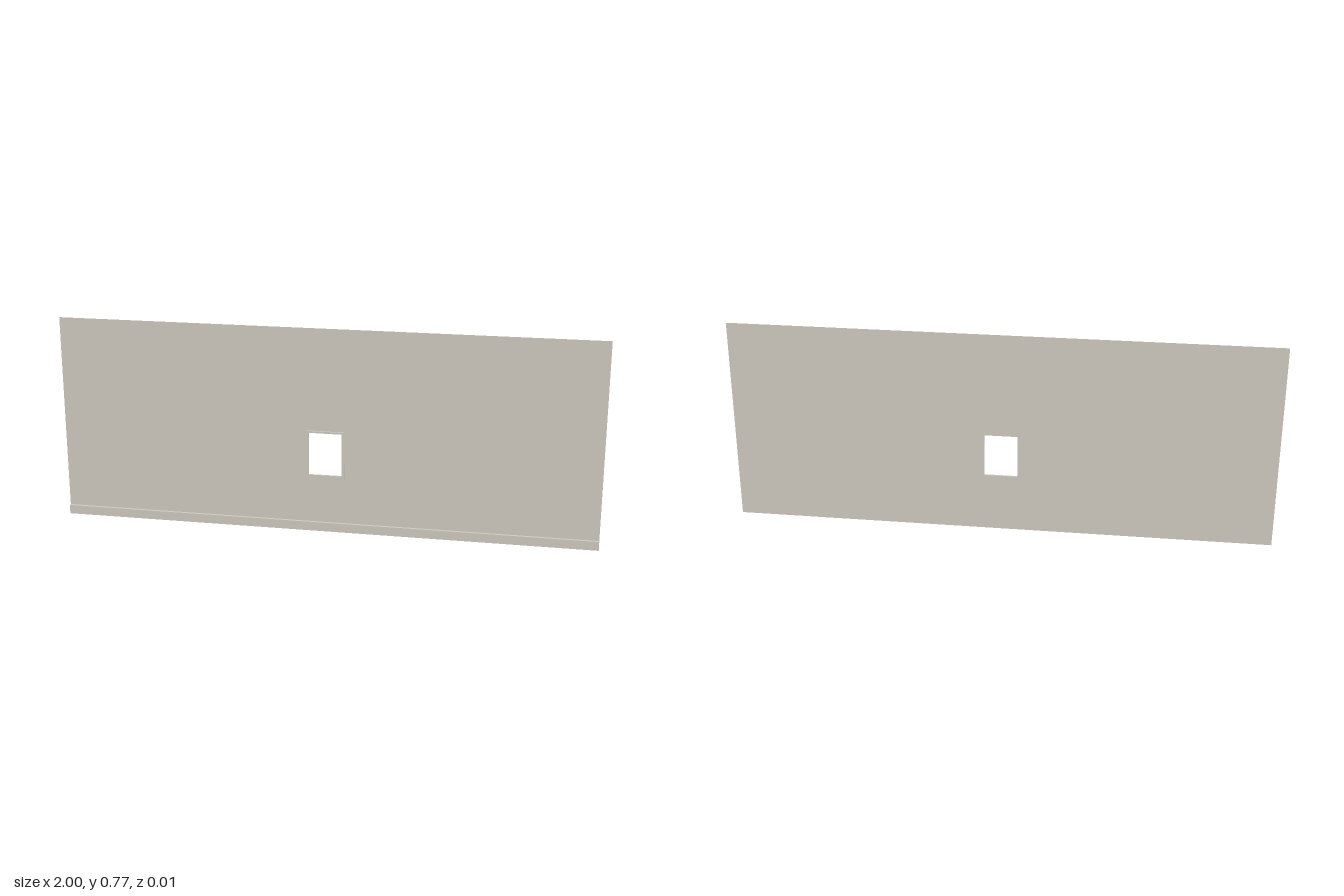
import * as THREE from 'three';

const BACK = -0.005; // plane shared by the wall and the backs of the trim

// Rectangle outline, usable as a shape or a hole
function rect(Type, x0, y0, x1, y1) {
  const r = new Type();
  r.moveTo(x0, y0);
  r.lineTo(x1, y0);
  r.lineTo(x1, y1);
  r.lineTo(x0, y1);
  r.closePath();
  return r;
}

export function createModel() {
  const group = new THREE.Group();
  group.name = 'wallWithWindow';
  const plaster = new THREE.MeshStandardMaterial({ color: 0xcfcac0, side: THREE.DoubleSide });
  plaster.name = 'warmGreyPlaster';

  const add = (name, geometry, z) => {
    const mesh = new THREE.Mesh(geometry, plaster);
    mesh.name = name;
    mesh.position.z = z;
    group.add(mesh);
    return mesh;
  };
  const opening = () => rect(THREE.Path, -0.061, 0.219, 0.061, 0.38);

  // Single-sheet wall with the window opening
  const wall = rect(THREE.Shape, -1, 0, 1, 0.77);
  wall.holes.push(opening());
  add('wall', new THREE.ShapeGeometry(wall), BACK);

  // Slim frame around the opening, raised from the front of the wall
  const frame = rect(THREE.Shape, -0.071, 0.207, 0.071, 0.387);
  frame.holes.push(opening());
  add('windowFrame', new THREE.ExtrudeGeometry(frame, { depth: 0.0065, bevelEnabled: false }), BACK);

  // Skirting board along the foot of the wall
  add('skirting', new THREE.BoxGeometry(2, 0.034, 0.01), 0).position.y = 0.017;

  return group;
}
